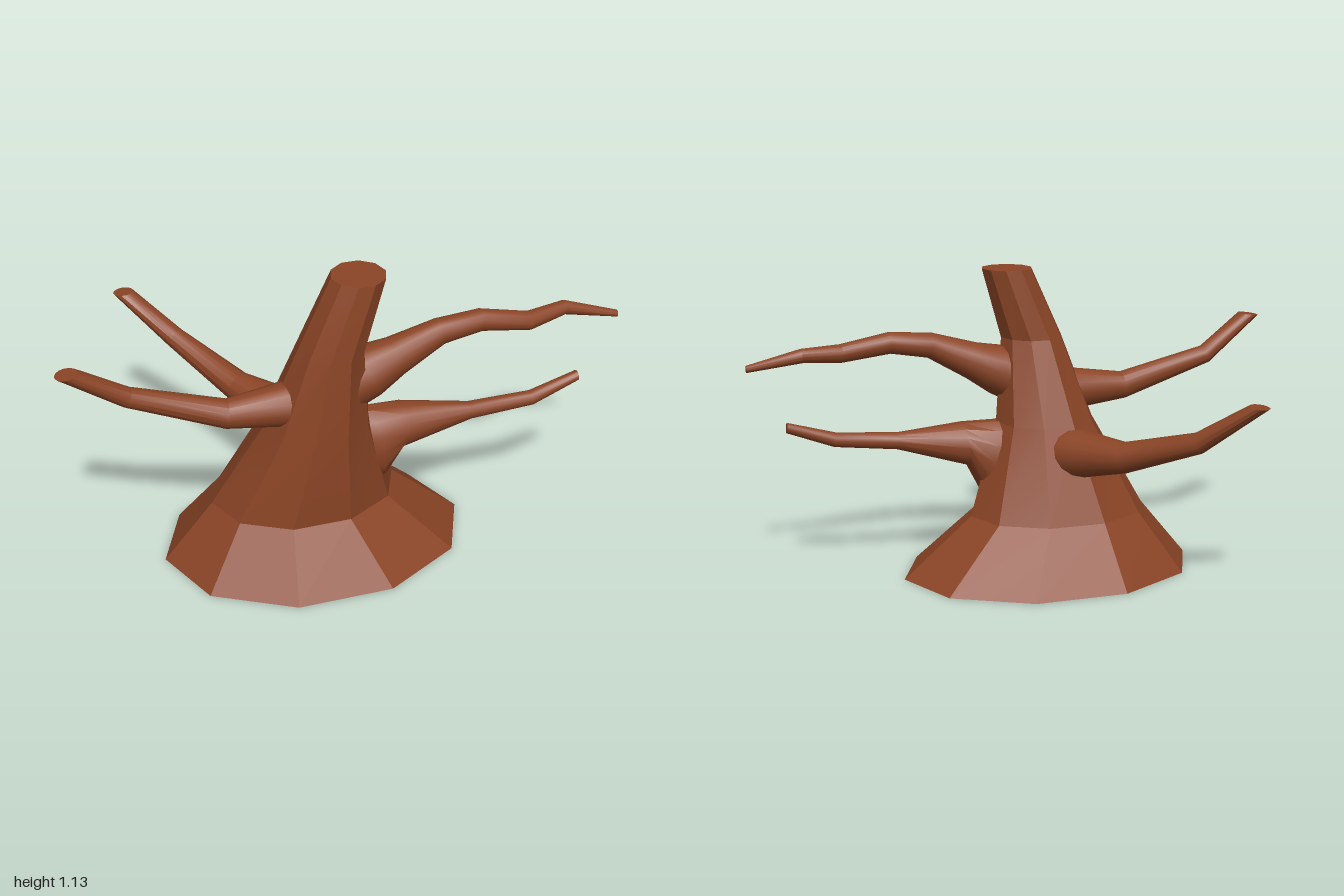
import * as THREE from 'three';
import { toCreasedNormals } from 'three/addons/utils/BufferGeometryUtils.js';

const bark = new THREE.MeshStandardMaterial({ color: 0x8b4526 });
bark.name = 'bark brown';
const UP = new THREE.Vector3(0, 1, 0);

// Skin a row of rings: { p: centre, rv: upright radius, rh: sideways radius, n: optional facing }
function loft(name, rings, sides, phase, crease) {
  const pos = [], idx = [];
  const pts = rings.map(r => new THREE.Vector3(...r.p));
  rings.forEach((r, i) => {
    const t = new THREE.Vector3();
    if (r.n) t.set(...r.n);
    else {
      if (i > 0) t.add(pts[i].clone().sub(pts[i - 1]).normalize());
      if (i < pts.length - 1) t.add(pts[i + 1].clone().sub(pts[i]).normalize());
    }
    t.normalize();
    const b = t.clone().cross(UP).normalize();
    const v = b.clone().cross(t);
    for (let j = 0; j < sides; j++) {
      const a = (j + phase) / sides * Math.PI * 2;
      const q = pts[i].clone()
        .addScaledVector(b, Math.cos(a) * r.rh)
        .addScaledVector(v, Math.sin(a) * r.rv);
      pos.push(q.x, q.y, q.z);
    }
  });
  const last = (rings.length - 1) * sides;
  const c0 = rings.length * sides, c1 = c0 + 1;
  pos.push(...pts[0].toArray(), ...pts[pts.length - 1].toArray());
  for (let j = 0; j < sides; j++) {
    const k = (j + 1) % sides;
    for (let o = 0; o < last; o += sides) {
      idx.push(o + j, o + sides + j, o + k, o + k, o + sides + j, o + sides + k);
    }
    idx.push(c0, j, k, c1, last + k, last + j); // end caps
  }
  const g = new THREE.BufferGeometry();
  g.setAttribute('position', new THREE.Float32BufferAttribute(pos, 3));
  g.setIndex(idx);
  const mesh = new THREE.Mesh(toCreasedNormals(g, crease), bark);
  mesh.name = name;
  return mesh;
}

const ring = (x, y, z, rv, n, rh = rv) => ({ p: [x, y, z], rv, rh, n });
const branch = (name, rings) => loft(name, rings, 14, 0, 0.5);

export function createModel() {
  const tree = new THREE.Group();
  tree.name = 'bareTree';

  // Leaning ten-sided trunk with flared foot: x, y, z, x radius, z radius
  const levels = [
    [-0.10, 0, 0.165, 0.56, 0.42],
    [-0.14, 0.22, 0.17, 0.34, 0.252],
    [-0.11, 0.56, 0.241, 0.19, 0.191],
    [-0.075, 0.87, 0.292, 0.118, 0.123],
    [0.02, 1.13, 0.293, 0.095, 0.097],
  ];
  tree.add(loft('trunk',
    levels.map(([x, y, z, rx, rz]) => ring(x, y, z, rx, [1e-4, 1, 0], rz)), 10, 0.5, 0.15));

  // Side branch on the right, sweeping up to a level cut
  tree.add(branch('rightBranch', [
    ring(-0.12, 0.655, 0.275, 0.085),
    ring(-0.24, 0.66, 0.275, 0.078),
    ring(-0.44, 0.66, 0.275, 0.052),
    ring(-0.765, 0.767, 0.24, 0.036),
    ring(-0.96, 0.91, 0.272, 0.039, [-0.12, 1, 0]),
  ]));

  // Rear branch
  tree.add(branch('backBranch', [
    ring(-0.14, 0.455, 0.1, 0.095),
    ring(-0.19, 0.468, 0.02, 0.088),
    ring(-0.295, 0.487, -0.145, 0.057),
    ring(-0.47, 0.587, -0.39, 0.039),
    ring(-0.63, 0.735, -0.53, 0.037, [-0.08, 1, -0.08]),
  ]));

  // Long wavy upper branch on the left
  tree.add(branch('upperLeftBranch', [
    ring(-0.03, 0.71, 0.29, 0.1),
    ring(0.06, 0.75, 0.29, 0.095),
    ring(0.16, 0.79, 0.288, 0.07),
    ring(0.32, 0.857, 0.285, 0.047),
    ring(0.47, 0.875, 0.283, 0.04),
    ring(0.65, 0.845, 0.29, 0.034),
    ring(0.8, 0.852, 0.252, 0.026),
    ring(0.995, 0.81, 0.28, 0.013, [1, 0, 0]),
  ]));

  // Lower left branch with a thick root
  tree.add(branch('lowerLeftBranch', [
    ring(0.05, 0.415, 0.243, 0.155, [1, 0.17, 0], 0.1),
    ring(0.11, 0.425, 0.245, 0.145, [1, 0.17, 0], 0.098),
    ring(0.2, 0.482, 0.255, 0.083, [1, -0.1, 0]),
    ring(0.45, 0.505, 0.28, 0.032),
    ring(0.68, 0.523, 0.295, 0.027),
    ring(0.857, 0.582, 0.29, 0.019, [1, 0.1, 0]),
  ]));

  return tree;
}
